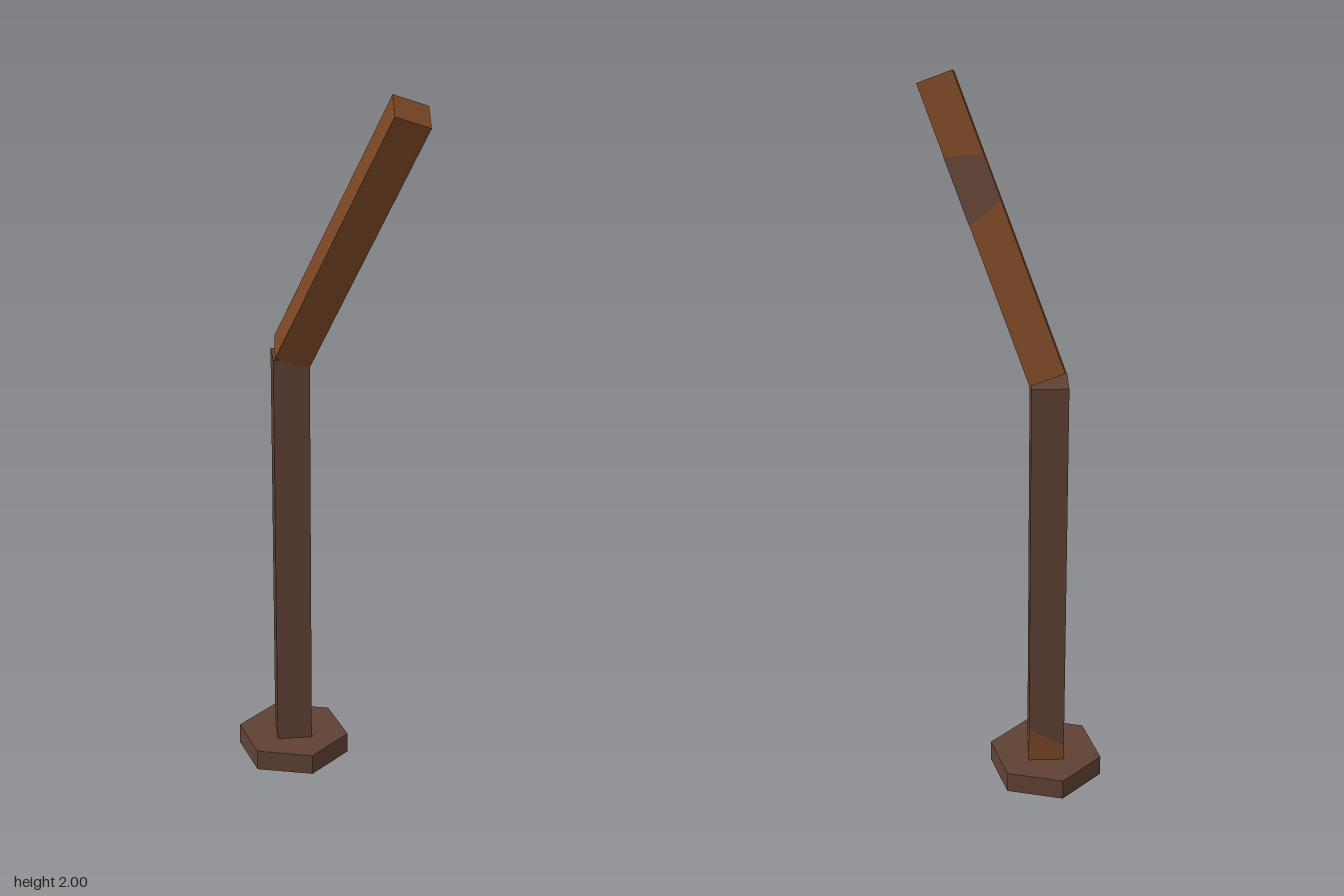
import * as THREE from 'three';

const dark = new THREE.MeshStandardMaterial({ color: 0x5f4134, flatShading: true });
dark.name = 'darkBrown';
const warm = new THREE.MeshStandardMaterial({ color: 0x794524, flatShading: true });
warm.name = 'warmBrown';

const R = 0.07; // corner radius of the square bars

function prism(name, radius, height, sides, turn, material) {
  const geometry = new THREE.CylinderGeometry(radius, radius, height, sides, 1, false, turn);
  geometry.translate(0, height / 2, 0);
  const mesh = new THREE.Mesh(geometry, material);
  mesh.name = name;
  return mesh;
}

// Painted area on a +x side of a bar: [low, high] along the side corner and
// along the front (end = 1) or back (end = -1) corner.
function patch(name, end, sideSpan, endSpan, material) {
  const r = R + 0.0012;
  const side = sideSpan.map((y) => new THREE.Vector3(r, y, 0));
  const edge = endSpan.map((y) => new THREE.Vector3(0, y, r * end));
  const [a, b] = end > 0 ? [edge, side] : [side, edge];
  const geometry = new THREE.BufferGeometry().setFromPoints([a[0], b[0], b[1], a[1]]);
  geometry.setIndex([0, 1, 2, 0, 2, 3]);
  geometry.computeVertexNormals();
  const mesh = new THREE.Mesh(geometry, material);
  mesh.name = name;
  return mesh;
}

export function createModel() {
  const model = new THREE.Group();
  model.name = 'bentPost';

  // Hexagonal foot
  const foot = prism('foot', 0.16, 0.06, 6, Math.PI / 6, dark);
  foot.position.z = -0.164;
  model.add(foot);

  // Upright post with a warm patch at its base
  const post = new THREE.Group();
  post.name = 'post';
  post.position.set(0, 0.06, -0.164);
  post.add(prism('postBar', R, 1.172, 4, 0, dark));
  post.add(patch('postPatch', -1, [0, 0.102], [0, 0.048], warm));
  model.add(post);

  // Leaning upper arm with dark patches on its left side
  const arm = new THREE.Group();
  arm.name = 'arm';
  arm.position.set(0, 1.238, -0.158);
  arm.rotation.x = 0.5;
  arm.add(prism('armBar', R, 0.831, 4, 0, warm));
  arm.add(patch('armTipPatch', 1, [0.489, 0.831], [0.564, 0.831], dark));
  arm.add(patch('armBackPatch', -1, [0.445, 0.633], [0.476, 0.601], dark));
  model.add(arm);

  return model;
}
